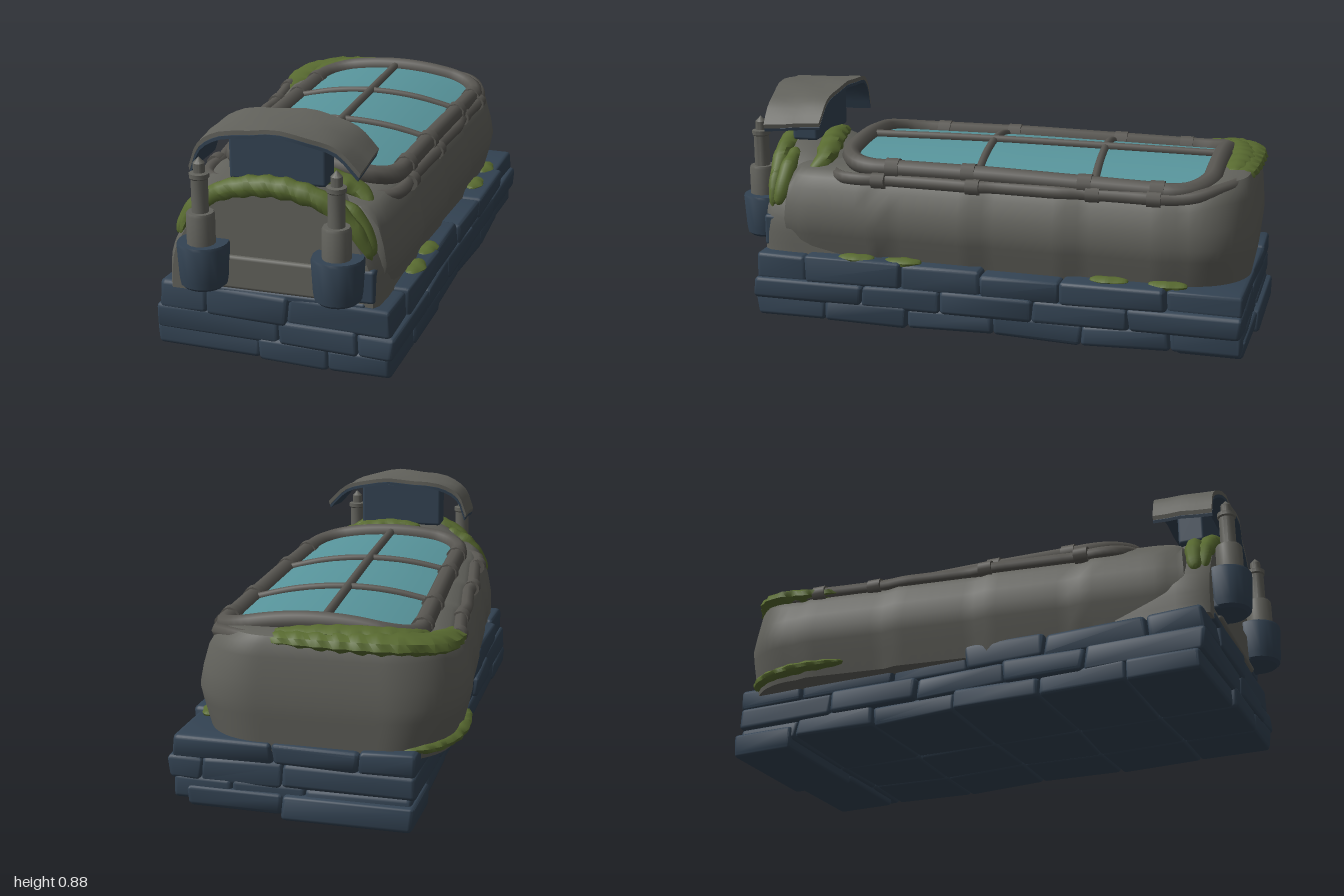
import * as THREE from 'three';
import { mergeVertices, toCreasedNormals } from 'three/addons/utils/BufferGeometryUtils.js';
import { RoundedBoxGeometry } from 'three/addons/geometries/RoundedBoxGeometry.js';

const mat = (name, color, side = THREE.FrontSide) => {
  const m = new THREE.MeshStandardMaterial({ color, side });
  m.name = name;
  return m;
};
const V = (x, y, z) => new THREE.Vector3(x, y, z);
const wave = (x, y, z) => Math.sin(x * 31 + y * 17) * Math.sin(z * 29 + y * 23 + 1);

export function createModel() {
  const stone = mat('grey stone', 0x62625c);
  const metal = mat('rail grey', 0x585651);
  const slate = mat('slate blue', 0x334353);
  const moss = mat('moss green', 0x586a30);
  const glass = mat('teal glass', 0x58959c, THREE.DoubleSide);
  const group = new THREE.Group();

  let seed = 11;
  const rand = () => (seed = (seed * 16807) % 2147483647) / 2147483647;

  function add(name, geo, material, x = 0, y = 0, z = 0, parent = group) {
    const m = new THREE.Mesh(geo, material);
    m.name = name;
    m.position.set(x, y, z);
    parent.add(m);
    return m;
  }
  // Moves every vertex by a rule, then rebuilds the normals
  function deform(geo, rule, crease = 0.7) {
    let g = geo.clone();
    g.deleteAttribute('normal');
    g.deleteAttribute('uv');
    g = mergeVertices(g, 1e-5);
    const p = g.attributes.position, v = V(0, 0, 0);
    for (let i = 0; i < p.count; i++) {
      rule(v.fromBufferAttribute(p, i));
      p.setXYZ(i, v.x, v.y, v.z);
    }
    return toCreasedNormals(g, crease);
  }
  // Skin over closed rings; each end is closed by strips between opposite points
  function loft(rings, crease = 0.7) {
    const n = rings[0].length, pos = [], idx = [];
    rings.forEach(r => r.forEach(p => pos.push(p.x, p.y, p.z)));
    for (let k = 0; k < rings.length - 1; k++) for (let j = 0; j < n; j++) {
      const a = k * n + j, b = k * n + (j + 1) % n;
      idx.push(a, b, b + n, a, b + n, a + n);
    }
    const last = (rings.length - 1) * n;
    for (let j = 0; j < Math.floor(n / 2); j++) {
      const a = j, b = j + 1, c = n - 2 - j, d = n - 1 - j;
      idx.push(a, c, b, a, d, c);
      idx.push(last + a, last + b, last + c, last + a, last + c, last + d);
    }
    const g = new THREE.BufferGeometry();
    g.setAttribute('position', new THREE.Float32BufferAttribute(pos, 3));
    g.setIndex(idx);
    return toCreasedNormals(g, crease);
  }
  // Rounded rectangle in plan, passed through a placing rule; corners are [x, z] radii
  function plan(hw, z0, z1, [fx, fz], [bx, bz], place, n = 96) {
    const s = new THREE.Shape(), f = -z1, b = -z0;
    s.moveTo(0, f);
    s.lineTo(hw - fx, f).bezierCurveTo(hw - fx * 0.45, f, hw, f + fz * 0.45, hw, f + fz);
    s.lineTo(hw, b - bz).bezierCurveTo(hw, b - bz * 0.45, hw - bx * 0.45, b, hw - bx, b);
    s.lineTo(-hw + bx, b).bezierCurveTo(-hw + bx * 0.45, b, -hw, b - bz * 0.45, -hw, b - bz);
    s.lineTo(-hw, f + fz).bezierCurveTo(-hw, f + fz * 0.45, -hw + fx * 0.45, f, -hw + fx, f);
    s.lineTo(0, f);
    return s.getSpacedPoints(n).slice(0, n).map(p => place(p.x, -p.y));
  }
  const tube = (pts, r, closed = false, seg = 96) =>
    new THREE.TubeGeometry(new THREE.CatmullRomCurve3(pts, closed), seg, r, 8, closed);

  // Base: three staggered courses of worn bricks, slightly skewed in plan
  const base = new THREE.Group();
  base.name = 'brickBase';
  group.add(base);
  function brick(x0, x1, y0, y1, z0, z1) {
    const g = new RoundedBoxGeometry(x1 - x0, y1 - y0, z1 - z0, 2, 0.016);
    const cx = (x0 + x1) / 2, cy = (y0 + y1) / 2, cz = (z0 + z1) / 2, t = rand() * 0.03 - 0.015;
    add('brick', deform(g, v => {
      v.y += t * v.x + 0.003 * wave(v.x + cx, cy, v.z + cz);
      v.add(V(cx, cy, cz));
      v.x += 0.033 - 0.037 * v.z + 0.007 * wave(v.z, v.y, v.x);
      v.z += 0.045 * v.x + 0.006 * wave(v.y, v.x, v.z);
    }), slate, 0, 0, 0, base);
  }
  const courses = [
    { y: [0.037, 0.118], xs: [-0.425, -0.05, 0.2, 0.42], zs: [0.88, 0.6, 0.28, -0.05, -0.38, -0.7, -0.95] },
    { y: [0.106, 0.195], xs: [-0.435, 0.02, 0.31, 0.43], zs: [0.88, 0.45, 0.15, -0.2, -0.55, -0.95] },
    { y: [0.183, 0.284], xs: [-0.425, -0.24, 0.06, 0.42], zs: [0.885, 0.68, 0.3, 0, -0.3, -0.68, -0.95] }
  ];
  for (const { y, xs, zs } of courses)
    for (let i = 0; i < xs.length - 1; i++) for (let k = 0; k < zs.length - 1; k++) {
      const j = () => rand() * 0.024 - 0.012;
      const drop = y[0] > 0.15 ? 0.008 * k / 2 : 0;
      brick(xs[i] + j() * (i === 0), xs[i + 1] + j() * (i === xs.length - 2),
        y[0], y[1] - drop + j() / 2, zs[k + 1], zs[k] + j() * (k === 0));
    }
  brick(-0.43, 0.02, 0.002, 0.09, -0.972, -0.72);
  brick(0.02, 0.36, 0.015, 0.09, -0.96, -0.72);

  // Body: bulging shell, wider and higher-rimmed to the back, with stepped side panels
  const bodyPlace = (y, inset) => (x, z) => {
    const step = 0.014 * (((z + 2.1) / 0.36) % 1) - 0.007;
    const w = 0.432 - 0.05 * z - step - inset;
    const rise = y > 0.5 ? 0.03 * THREE.MathUtils.smoothstep(-z, 0.68, 0.86) : 0;
    return V(-0.012 + 0.025 * z + x * w, y + rise, z);
  };
  const bodyRing = ([y, inset]) => {
    const e = inset * 0.4;
    return plan(1, -0.948 + e, 0.8 - e, [0.12, 0.1], [0.55, 0.26], bodyPlace(y, inset), 160);
  };
  add('body', loft([[0.23, 0.042], [0.3, 0.024], [0.36, 0.009], [0.405, 0], [0.47, 0.012], [0.53, 0.032],
    [0.57, 0.054], [0.595, 0.085], [0.603, 0.14]].map(bodyRing), 0.6), stone);

  // Head block: arched front end
  const arch = [[-0.38, 0.27], [-0.37, 0.4], [-0.33, 0.49], [-0.25, 0.595], [-0.13, 0.665], [0, 0.69]];
  const archPts = new THREE.CatmullRomCurve3([...arch, ...arch.slice(0, -1).reverse().map(([x, y]) => [-x, y])]
    .map(([x, y]) => V(x, y, 0))).getPoints(32).reverse();
  const headRing = (z, sx, sy) => archPts.map(p => V(p.x * sx, 0.25 + (p.y - 0.25) * sy, z));
  add('headBlock', loft([headRing(0.54, 1, 0.8), headRing(0.64, 1, 0.9), headRing(0.76, 1, 1),
    headRing(0.85, 0.98, 1), headRing(0.875, 0.94, 0.95)]), stone);
  add('frontPanel', new RoundedBoxGeometry(0.5, 0.12, 0.05, 2, 0.012), stone, 0.01, 0.355, 0.863);
  add('frontSill', new RoundedBoxGeometry(0.64, 0.03, 0.06, 2, 0.01), slate, 0.01, 0.28, 0.85);

  // Glass roof: arched pane, frame and bars
  const roofY = (x, z) => 0.667 - 0.45 * x * x - 0.02 * Math.max(0, -z);
  const roofPlace = (x, z) => {
    const px = 0.02 + 0.005 * z + x * (0.322 - 0.03 * z);
    return V(px, roofY(px, z), z + 0.012 * x);
  };
  const roofRing = s => plan(s, -0.115 - 0.68 * s, -0.115 + 0.68 * s, [0.42 * s, 0.13 * s], [0.42 * s, 0.13 * s],
    (x, z) => roofPlace(x, z).add(V(0, -0.004, 0)));
  add('glassPane', loft([1, 0.8, 0.6, 0.4, 0.2, 0.02].map(roofRing), 1), glass);
  add('roofFrame', tube(plan(1, -0.795, 0.565, [0.42, 0.13], [0.42, 0.13], roofPlace, 80), 0.034, true, 160), metal);
  add('lengthBar', tube([-0.79, -0.4, 0.1, 0.56].map(z => {
    const x = 0.005 + 0.025 * z;
    return V(x, roofY(x, z) + 0.004, z);
  }), 0.016, false, 24), metal);
  for (const z of [-0.36, 0.07])
    add('crossBar', tube([-1, -0.5, 0, 0.5, 1].map(x => roofPlace(x, z - 0.03 * x)), 0.015, false, 24), metal);

  // Side rail round the shell, with collars on rail and frame
  const railPlace = bodyPlace(0.575, 0.052);
  add('sideRail', tube(plan(1, -0.885, 0.62, [0.3, 0.1], [0.55, 0.24], railPlace, 80), 0.024, true, 160), metal);
  const collar = new THREE.CylinderGeometry(1, 1, 0.05, 10).rotateX(Math.PI / 2);
  for (const s of [-1, 1]) {
    for (const z of [0.42, 0.06, -0.38, -0.6]) {
      const p = railPlace(s, z);
      add('railCollar', collar, metal, p.x, p.y, p.z).scale.set(0.03, 0.03, 1);
    }
    for (const z of [0.36, 0.07, -0.36, -0.62]) {
      const p = roofPlace(s, z);
      add('frameCollar', collar, metal, p.x, p.y, p.z).scale.set(0.039, 0.039, 1);
    }
  }
  add('smallPane', new THREE.BoxGeometry(0.13, 0.008, 0.05), glass, -0.13, 0.645, 0.63).rotation.x = 0.35;

  // Hood: slate block under a bent canopy
  add('hoodBlock', new RoundedBoxGeometry(0.34, 0.18, 0.1, 2, 0.012), slate, 0.01, 0.757, 0.775);
  const hoodLine = new THREE.CatmullRomCurve3([[-0.275, 0.715], [-0.24, 0.8], [-0.16, 0.84], [0, 0.86],
    [0.14, 0.85], [0.235, 0.815], [0.31, 0.745]].map(([x, y]) => V(x, y, 0))).getPoints(18);
  function hoodSheet(name, lift, thick, material) {
    const rings = [0.645, 0.7, 0.77, 0.84, 0.905].map(z => {
      const at = d => hoodLine.map(p => V(p.x * (1 + d),
        p.y + d + 0.2 * Math.abs(p.x) * (0.77 - z) + 0.004 * wave(p.x, 0, z),
        z - 0.25 * p.x * p.x * Math.sign(z - 0.77) + 0.005 * wave(z, 1, p.x)));
      return [...at(lift), ...at(lift + thick).reverse()];
    });
    add(name, loft(rings, 0.5), material);
  }
  hoodSheet('hoodCanopy', 0, 0.015, stone);
  hoodSheet('hoodLining', -0.012, 0.011, slate);

  // Front posts standing in slate cups
  const lathe = (pts, sides) => toCreasedNormals(
    new THREE.LatheGeometry(pts.map(([x, y]) => new THREE.Vector2(x, y)), sides), 0.6);
  const cup = lathe([[0.001, 0.31], [0.066, 0.311], [0.079, 0.322], [0.083, 0.345], [0.09, 0.46], [0.086, 0.47],
    [0.001, 0.47]], 20);
  const post = lathe([[0.049, 0.46], [0.049, 0.57], [0.045, 0.58], [0.029, 0.58], [0.029, 0.695],
    [0.034, 0.7], [0.034, 0.715], [0.02, 0.718], [0.02, 0.75], [0.001, 0.77]], 14);
  for (const x of [-0.225, 0.247]) {
    add('postCup', cup, slate, x, 0, 0.91);
    add('cupBack', new RoundedBoxGeometry(0.15, 0.15, 0.07, 2, 0.012), slate, x, 0.385, 0.865);
    add('frontPost', post, stone, x, 0, 0.925);
  }
  add('cupBracket', new RoundedBoxGeometry(0.2, 0.12, 0.06, 2, 0.012), slate, 0.262, 0.355, 0.85);

  // Moss: lumpy strips with tapered ends; flat squashes them in height
  function mossStrip(pts, r, flat = 0.6) {
    const curve = new THREE.CatmullRomCurve3(pts.map(p => V(...p))), seg = 48;
    const g = new THREE.TubeGeometry(curve, seg, r, 9, false), p = g.attributes.position, v = V(0, 0, 0);
    for (let i = 0; i < p.count; i++) {
      const t = Math.floor(i / 10) / seg, c = curve.getPointAt(t);
      v.fromBufferAttribute(p, i).sub(c);
      const k = (0.02 + Math.sin(Math.PI * t) ** 0.35) * (1 + 0.1 * wave(v.x * 2 + c.x * 3, c.y + v.y * 2, c.z * 3));
      p.setXYZ(i, c.x + v.x * k, c.y + v.y * k * flat, c.z + v.z * k);
    }
    add('moss', deform(g, () => {}, 0.8), moss);
  }
  // Moss over the head arch, its shoulders and behind the hood block
  mossStrip([[-0.33, 0.45, 0.85], [-0.285, 0.54, 0.853], [-0.2, 0.62, 0.855], [-0.1, 0.655, 0.857], [0, 0.665, 0.857],
    [0.1, 0.655, 0.857], [0.2, 0.62, 0.855], [0.295, 0.53, 0.853], [0.345, 0.44, 0.85]], 0.038, 1);
  mossStrip([[-0.08, 0.665, 0.7], [0.06, 0.665, 0.695], [0.18, 0.645, 0.675], [0.25, 0.615, 0.675], [0.3, 0.57, 0.71]],
    0.045, 0.7);
  for (const s of [-1, 1])
    mossStrip([[s * 0.345, 0.45, 0.83], [s * 0.322, 0.5, 0.82], [s * 0.27, 0.575, 0.81], [s * 0.18, 0.635, 0.81]], 0.032, 1);
  // Moss round the back rim
  mossStrip([[-0.425, 0.565, -0.5], [-0.415, 0.58, -0.66], [-0.385, 0.598, -0.8], [-0.28, 0.61, -0.87],
    [-0.1, 0.612, -0.88], [0.08, 0.612, -0.88], [0.2, 0.605, -0.87]], 0.072, 0.5);
  mossStrip([[-0.36, 0.61, -0.72], [-0.29, 0.628, -0.82], [-0.1, 0.635, -0.86], [0.14, 0.625, -0.855]], 0.05, 0.5);
  // Moss along the foot of the shell
  mossStrip([[-0.46, 0.27, -0.48], [-0.457, 0.268, -0.7], [-0.39, 0.264, -0.86], [-0.22, 0.264, -0.92]], 0.034, 0.6);
  for (const [x, y, z] of [[0.4, 0.284, 0.5], [0.4, 0.282, 0.32], [0.41, 0.272, -0.45], [0.41, 0.27, -0.66]])
    mossStrip([[x, y, z - 0.07], [x + 0.01, y, z], [x, y, z + 0.07]], 0.032, 0.5);

  return group;
}
